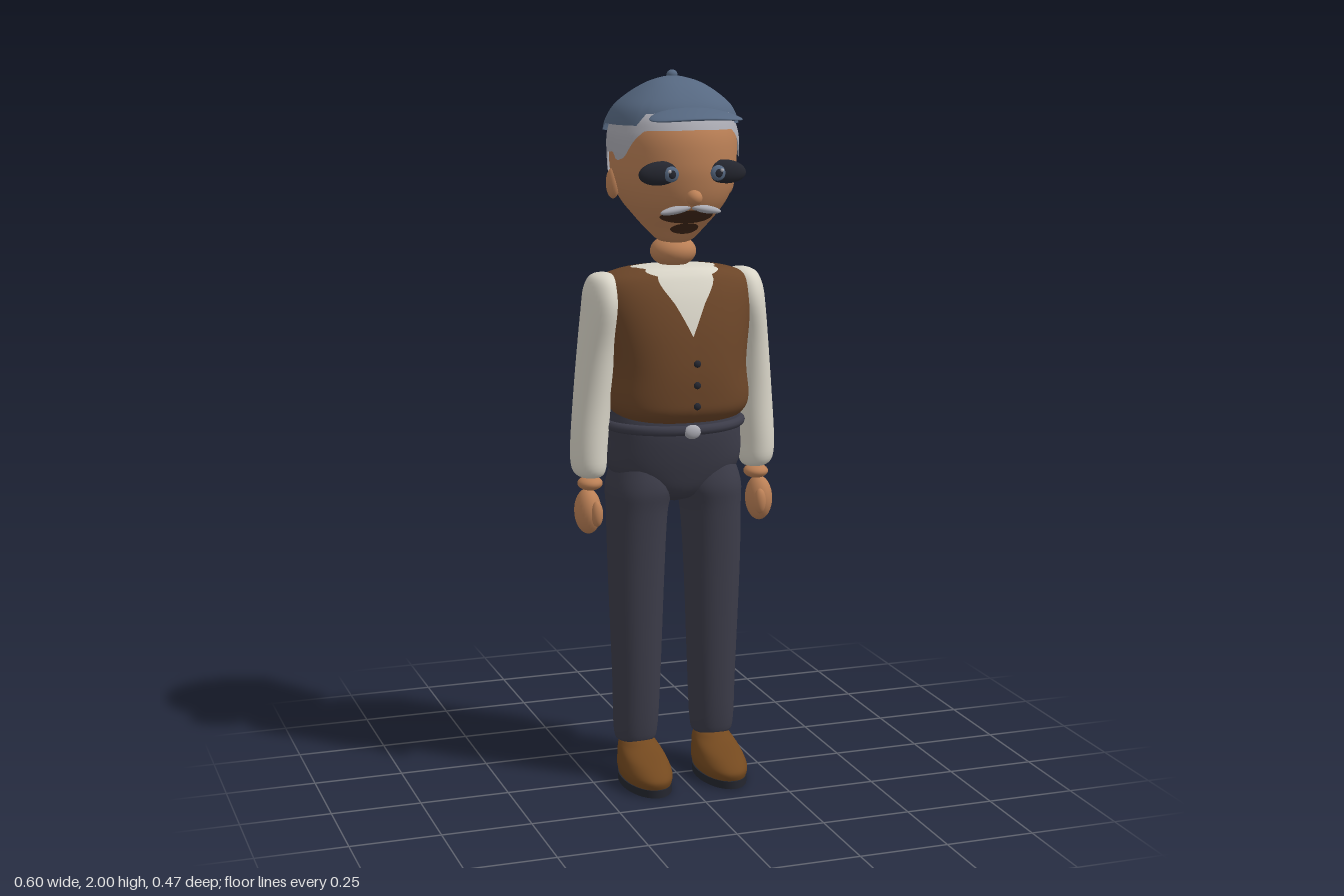
import * as THREE from 'three';

const mat = (name, color, side = THREE.FrontSide) => {
  const m = new THREE.MeshStandardMaterial({ color, side });
  m.name = name;
  return m;
};

// Catmull-Rom blend of a ring table; ring = [y, halfWidth, zFront, zBack, xCentre]
function ringAt(rings, t) {
  const last = rings.length - 1;
  const i = Math.min(Math.floor(t), last - 1), f = t - i;
  const r = k => rings[Math.max(0, Math.min(last, k))];
  return [0, 1, 2, 3, 4].map(k => {
    const [a, b, c, d] = [r(i - 1), r(i), r(i + 1), r(i + 2)].map(q => q[k] ?? 0);
    return b + 0.5 * f * (c - a + f * (2 * a - 5 * b + 4 * c - d + f * (3 * (b - c) + d - a)));
  });
}

// Position in the ring table at which the surface reaches height y
function ringIndex(rings, y) {
  let lo = 0, hi = rings.length - 1;
  for (let k = 0; k < 24; k++) {
    const mid = (lo + hi) / 2;
    if (ringAt(rings, mid)[0] < y) lo = mid; else hi = mid;
  }
  return (lo + hi) / 2;
}

// Piecewise linear lookup
function table(points, x) {
  for (let i = 1; i < points.length; i++) {
    const [x0, y0] = points[i - 1], [x1, y1] = points[i];
    if (x <= x1) return y0 + (y1 - y0) * (x - x0) / (x1 - x0);
  }
  return points[points.length - 1][1];
}

// Lofted body; lo and hi trim its edges by angle from the front (0 front, PI back)
function loft(rings, { segs = 48, rows = 36, n = 2, grow = 0, lo, hi } = {}) {
  const pos = [], index = [];
  const pw = v => Math.sign(v) * Math.abs(v) ** (2 / n);
  const spans = [];
  for (let u = 0; u < segs; u++) {
    const a = u / segs * Math.PI * 2, angle = Math.min(a, Math.PI * 2 - a);
    spans.push([a, lo ? ringIndex(rings, lo(angle)) : 0, hi ? ringIndex(rings, hi(angle)) : rings.length - 1]);
  }
  for (let v = 0; v <= rows; v++) {
    for (let u = 0; u < segs; u++) {
      const [a, t0, t1] = spans[u];
      const [y, rx, zf, zb, cx] = ringAt(rings, t0 + (t1 - t0) * v / rows);
      pos.push(cx + (rx + grow) * pw(Math.sin(a)), y, (zf + zb) / 2 + ((zf - zb) / 2 + grow) * pw(Math.cos(a)));
      if (v < rows) {
        const p = v * segs + u, q = v * segs + (u + 1) % segs;
        index.push(p, q, p + segs, q, q + segs, p + segs);
      }
    }
  }
  const g = new THREE.BufferGeometry();
  g.setAttribute('position', new THREE.Float32BufferAttribute(pos, 3));
  g.setIndex(index);
  g.computeVertexNormals();
  return g;
}

const ball = (rx, ry, rz) => new THREE.SphereGeometry(1, 28, 18).scale(rx, ry, rz);

const HEAD = [
  [1.53, 0, -0.01, -0.01], [1.538, 0.045, 0.03, -0.06], [1.575, 0.085, 0.062, -0.1], [1.61, 0.115, 0.1, -0.142],
  [1.65, 0.145, 0.13, -0.185], [1.7, 0.166, 0.147, -0.208], [1.76, 0.173, 0.155, -0.22],
  [1.84, 0.17, 0.146, -0.215], [1.9, 0.135, 0.1, -0.175], [1.94, 0, -0.03, -0.03]];
const CAP = [
  [1.81, 0.182, 0.13, -0.238], [1.855, 0.18, 0.132, -0.226], [1.9, 0.16, 0.122, -0.195],
  [1.935, 0.123, 0.092, -0.153], [1.965, 0.075, 0.048, -0.1], [1.98, 0.03, 0, -0.06], [1.984, 0, -0.033, -0.033]];
const TORSO = [
  [1.05, 0.165, 0.13, -0.13], [1.08, 0.19, 0.155, -0.15], [1.12, 0.197, 0.16, -0.156], [1.2, 0.191, 0.157, -0.166],
  [1.3, 0.205, 0.14, -0.173], [1.38, 0.22, 0.115, -0.172], [1.43, 0.214, 0.09, -0.15],
  [1.455, 0.17, 0.07, -0.12], [1.468, 0.095, 0.045, -0.09], [1.472, 0, -0.03, -0.03]];
const PELVIS = [
  [0.8, 0, -0.02, -0.02], [0.83, 0.09, 0.05, -0.1], [0.9, 0.184, 0.08, -0.147], [1, 0.192, 0.1, -0.166],
  [1.06, 0.187, 0.095, -0.164], [1.085, 0.165, 0.08, -0.145], [1.09, 0, -0.03, -0.03]];
const LEG = [
  [0.105, 0, -0.03, -0.03, 0.115], [0.11, 0.045, 0.015, -0.075, 0.115], [0.14, 0.061, 0.034, -0.09, 0.115],
  [0.3, 0.067, 0.048, -0.097, 0.113], [0.6, 0.078, 0.06, -0.106, 0.113], [0.78, 0.084, 0.07, -0.124, 0.109],
  [0.86, 0.092, 0.076, -0.14, 0.1], [0.95, 0.06, 0.05, -0.12, 0.1]];
const SHOE = [
  [0.015, 0.062, 0.172, -0.08, 0.112], [0.045, 0.068, 0.18, -0.086, 0.112], [0.075, 0.063, 0.14, -0.086, 0.112],
  [0.1, 0.054, 0.065, -0.083, 0.112], [0.118, 0.038, 0.03, -0.075, 0.112], [0.124, 0, -0.02, -0.02, 0.112]];
const SLEEVE = [
  [0.884, 0, -0.03, -0.03, 0.243], [0.887, 0.03, 0.005, -0.065, 0.243], [0.91, 0.047, 0.026, -0.085, 0.247],
  [0.97, 0.051, 0.032, -0.091, 0.247], [1.1, 0.052, 0.035, -0.093, 0.237], [1.24, 0.051, 0.05, -0.105, 0.224],
  [1.35, 0.051, 0.07, -0.122, 0.21], [1.41, 0.047, 0.06, -0.115, 0.206], [1.445, 0.032, 0.03, -0.085, 0.203],
  [1.456, 0, -0.03, -0.03, 0.2]];

// Front surface of the head
function faceZ(x, y) {
  const [, rx, zf, zb] = ringAt(HEAD, ringIndex(HEAD, y));
  return (zf + zb) / 2 + (zf - zb) / 2 * Math.sqrt(Math.max(0, 1 - (x / rx) ** 2));
}

// Thin oval that follows the face
function facePatch(x, y, rx, ry, lift) {
  const g = new THREE.RingGeometry(0.001, 1, 32, 6).scale(rx, ry, 1).translate(x, y, 0);
  const p = g.attributes.position;
  for (let i = 0; i < p.count; i++) p.setZ(i, faceZ(p.getX(i), p.getY(i)) + lift);
  g.computeVertexNormals();
  return g;
}

export function createModel() {
  const model = new THREE.Group();
  model.name = 'capped man';
  const D = THREE.DoubleSide;
  const skin = mat('skin', 0xbb8056), hairGrey = mat('hair grey', 0xaaaab2, D), capBlue = mat('cap blue', 0x566881, D);
  const brown = mat('vest brown', 0x6b4528, D), cream = mat('shirt cream', 0xd9d5c8), slate = mat('trouser slate', 0x3c3c49);
  const shoeBrown = mat('shoe brown', 0x74491f), dark = mat('dark', 0x24262f), mouthBrown = mat('mouth brown', 0x3f2618);

  const add = (name, geometry, material, x = 0, y = 0, z = 0, rz = 0, parent = model) => {
    const m = new THREE.Mesh(geometry, material);
    m.name = name;
    m.position.set(x, y, z);
    m.rotation.z = rz;
    parent.add(m);
    return m;
  };

  // Head and hair
  add('head', loft(HEAD), skin);
  add('neck', ball(0.064, 0.044, 0.064), skin, 0, 1.506, -0.03);
  const hairline = [[0, 1.848], [0.78, 1.845], [0.95, 1.82], [1.15, 1.772], [1.35, 1.76], [1.45, 1.785],
    [1.72, 1.78], [1.88, 1.72], [2.1, 1.665], [2.4, 1.65], [3.2, 1.645]];
  add('hair', loft(HEAD, { segs: 96, grow: 0.006, lo: a => table(hairline, a), hi: () => 1.9 }), hairGrey);

  // Cap
  const capEdge = [[0, 1.893], [0.72, 1.89], [0.85, 1.858], [1.72, 1.856], [1.8, 1.838], [2.5, 1.825], [3.2, 1.82]];
  add('capCrown', loft(CAP, { segs: 96, n: 2.3, lo: a => table(capEdge, a) }), capBlue);
  add('capButton', ball(0.015, 0.013, 0.015), capBlue, 0, 1.986, -0.038);
  const brim = ball(0.129, 0.011, 0.079);
  const bp = brim.attributes.position;
  for (let i = 0; i < bp.count; i++) bp.setY(i, bp.getY(i) - bp.getX(i) ** 2 * 0.9 - bp.getZ(i) * 0.12);
  brim.computeVertexNormals();
  add('capBrim', brim, capBlue, 0, 1.892, 0.159);

  // Face
  add('nose', ball(0.022, 0.021, 0.024), skin, 0, 1.668, 0.145);
  add('mouth', facePatch(0, 1.613, 0.076, 0.019, 0.007), mouthBrown);
  add('chinPatch', facePatch(0, 1.578, 0.04, 0.016, 0.008), mouthBrown);

  // Shirt, vest with V neck, buttons, belt
  add('shirt', loft(TORSO, { segs: 72, n: 2.5, grow: -0.007, lo: () => 1.1 }), cream);
  const neckline = [[0, 1.29], [0.2, 1.38], [0.42, 1.45], [0.85, 1.466], [1, 1.466]];
  add('vest', loft(TORSO, {
    segs: 144, n: 2.5,
    lo: a => 1.07 - 0.018 * Math.cos(a),
    hi: a => a < Math.PI / 2 ? table(neckline, Math.sin(a) ** 0.8) : 1.465
  }), brown);
  for (const y of [1.105, 1.163, 1.222]) add('vestButton', ball(0.01, 0.01, 0.007), dark, 0, y, 0.174);
  add('trouserSeat', loft(PELVIS, { n: 2.3 }), slate);
  const belt = new THREE.TorusGeometry(0.175, 0.014, 10, 64).rotateX(Math.PI / 2).scale(1.08, 1, 0.88);
  add('belt', belt, slate, 0, 1.03, -0.027);
  add('beltBuckle', ball(0.024, 0.02, 0.012), hairGrey, 0, 1.027, 0.134);

  // Mirrored parts
  const mirrorX = g => {
    g.scale(-1, 1, 1);
    const a = g.index.array;
    for (let i = 0; i < a.length; i += 3) [a[i], a[i + 1]] = [a[i + 1], a[i]];
    return g;
  };
  for (const s of [1, -1]) {
    const side = new THREE.Group();
    side.name = s > 0 ? 'leftSide' : 'rightSide';
    model.add(side);
    const put = (name, g, m, x = 0, y = 0, z = 0, rz = 0) =>
      add(name, s > 0 ? g : mirrorX(g), m, x * s, y, z, rz * s, side);
    put('ear', ball(0.018, 0.042, 0.028), skin, 0.166, 1.695, -0.052);
    put('eye', ball(0.06, 0.032, 0.022), dark, 0.092, 1.735, 0.132, -0.08);
    put('iris', ball(0.021, 0.021, 0.01), capBlue, 0.066, 1.733, 0.15);
    put('pupil', ball(0.011, 0.012, 0.005), dark, 0.066, 1.733, 0.157);
    put('eyeGlint', ball(0.005, 0.005, 0.004), hairGrey, 0.074, 1.741, 0.16);
    put('moustache', ball(0.045, 0.011, 0.014), hairGrey, 0.042, 1.634, 0.118, -0.18);
    put('sleeve', loft(SLEEVE), cream);
    put('wrist', ball(0.035, 0.02, 0.037), skin, 0.246, 0.868, -0.024);
    put('hand', ball(0.037, 0.064, 0.05), skin, 0.254, 0.79, -0.02);
    put('thumb', ball(0.017, 0.036, 0.018), skin, 0.241, 0.79, 0.025);
    put('trouserLeg', loft(LEG, { n: 2.2 }), slate);
    put('shoe', loft(SHOE, { n: 2.2 }), shoeBrown);
    put('sole', new THREE.CylinderGeometry(1, 1, 0.022, 40).scale(0.068, 1, 0.133), dark, 0.112, 0.011, 0.048);
  }
  return model;
}
